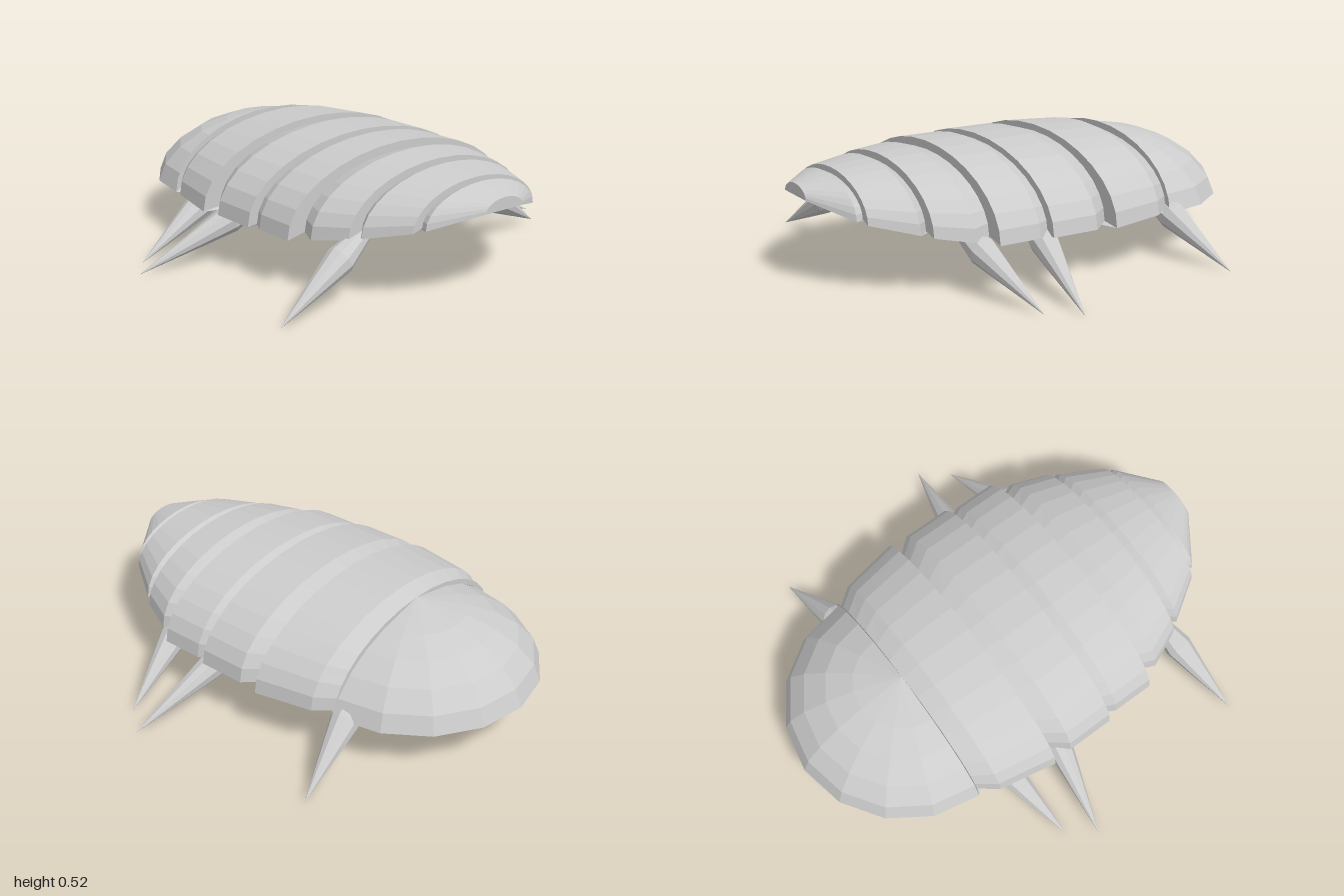
import * as THREE from 'three';

const grey = new THREE.MeshStandardMaterial({ color: 0xcccccc, flatShading: true, side: THREE.DoubleSide });

function addMesh(group, geometry, name) {
  const mesh = new THREE.Mesh(geometry, grey);
  mesh.name = name;
  group.add(mesh);
  return mesh;
}

// Half-ellipse rings along the body: z, half width, bottom y, top y.
// Each plate ends wide and steps in to the next one.
const RINGS = [
  [-0.47, 0.53, 0.2, 0.505],
  [-0.47, 0.5, 0.22, 0.475], [-0.385, 0.565, 0.215, 0.515], [-0.13, 0.615, 0.21, 0.528],
  [-0.13, 0.53, 0.22, 0.5], [-0.04, 0.605, 0.215, 0.525], [0.17, 0.605, 0.215, 0.525],
  [0.17, 0.56, 0.22, 0.5], [0.22, 0.585, 0.215, 0.52], [0.405, 0.585, 0.215, 0.52],
  [0.405, 0.5, 0.235, 0.485], [0.48, 0.53, 0.225, 0.507], [0.63, 0.465, 0.25, 0.495],
  [0.63, 0.4, 0.265, 0.465], [0.67, 0.435, 0.26, 0.485], [0.84, 0.325, 0.3, 0.465],
  [0.84, 0.28, 0.315, 0.44], [0.87, 0.29, 0.31, 0.455], [0.995, 0.1, 0.37, 0.42],
];

function platesGeometry(sides = 16) {
  const pos = [], index = [], row = sides + 1;
  for (const [z, w, bottom, top] of RINGS) {
    for (let j = 0; j <= sides; j++) {
      const a = (j / sides) * Math.PI;
      pos.push(w * Math.cos(a), bottom + (top - bottom) * Math.sin(a), z);
    }
  }
  const last = (RINGS.length - 1) * row;
  const belly = pos.length / 3, nose = belly + 1;
  pos.push(0, 0.225, 0.1, 0, 0.37, 0.995);

  for (let r = 0; r < last; r += row) {
    // Shell
    for (let j = 0; j < sides; j++) {
      const a = r + j, b = a + row;
      index.push(a, a + 1, b, a + 1, b + 1, b);
    }
    // Underside, fanned from the middle of the belly
    index.push(belly, r, r + row, belly, r + row + sides, r + sides);
  }
  index.push(belly, sides, 0, belly, last, last + sides);
  // Small end cap
  for (let j = 0; j < sides; j++) index.push(nose, last + j, last + j + 1);

  const g = new THREE.BufferGeometry();
  g.setAttribute('position', new THREE.Float32BufferAttribute(pos, 3));
  g.setIndex(index);
  g.computeVertexNormals();
  return g;
}

export function createModel() {
  const model = new THREE.Group();
  model.name = 'armouredBug';

  addMesh(model, platesGeometry(), 'bodyPlates');

  // Rounded half dome with a flat underside
  const dome = [[0, 0.2], [0.53, 0.2], [0.5, 0.275], [0.43, 0.35], [0.33, 0.415],
    [0.21, 0.46], [0.13, 0.477], [0, 0.505]].map(([x, y]) => new THREE.Vector2(x, y));
  addMesh(model, new THREE.LatheGeometry(dome, 8, Math.PI / 2, Math.PI), 'backDome').position.z = -0.47;

  // Spiky legs: side, root z, tip x, tip z
  const legs = [
    [1, -0.48, 0.82, -0.565], [1, 0.14, 0.935, 0.25], [1, 0.47, 0.84, 0.37],
    [-1, 0.61, 0.84, 0.69], [-1, -0.03, 0.935, -0.13], [-1, -0.33, 0.85, -0.245],
  ];
  const up = new THREE.Vector3(0, 1, 0);
  for (const [side, rootZ, tipX, tipZ] of legs) {
    const root = new THREE.Vector3(side * 0.38, 0.25, rootZ);
    const axis = new THREE.Vector3(side * tipX, 0.005, tipZ).sub(root);
    const len = axis.length();
    const profile = [[0, 0], [0.035, 0], [0.06, 0.28], [0.042, 0.5], [0, 1]]
      .map(([r, t]) => new THREE.Vector2(r, t * len));
    const leg = addMesh(model, new THREE.LatheGeometry(profile, 10), side > 0 ? 'leftLeg' : 'rightLeg');
    leg.position.copy(root);
    leg.quaternion.setFromUnitVectors(up, axis.normalize());
  }
  return model;
}
